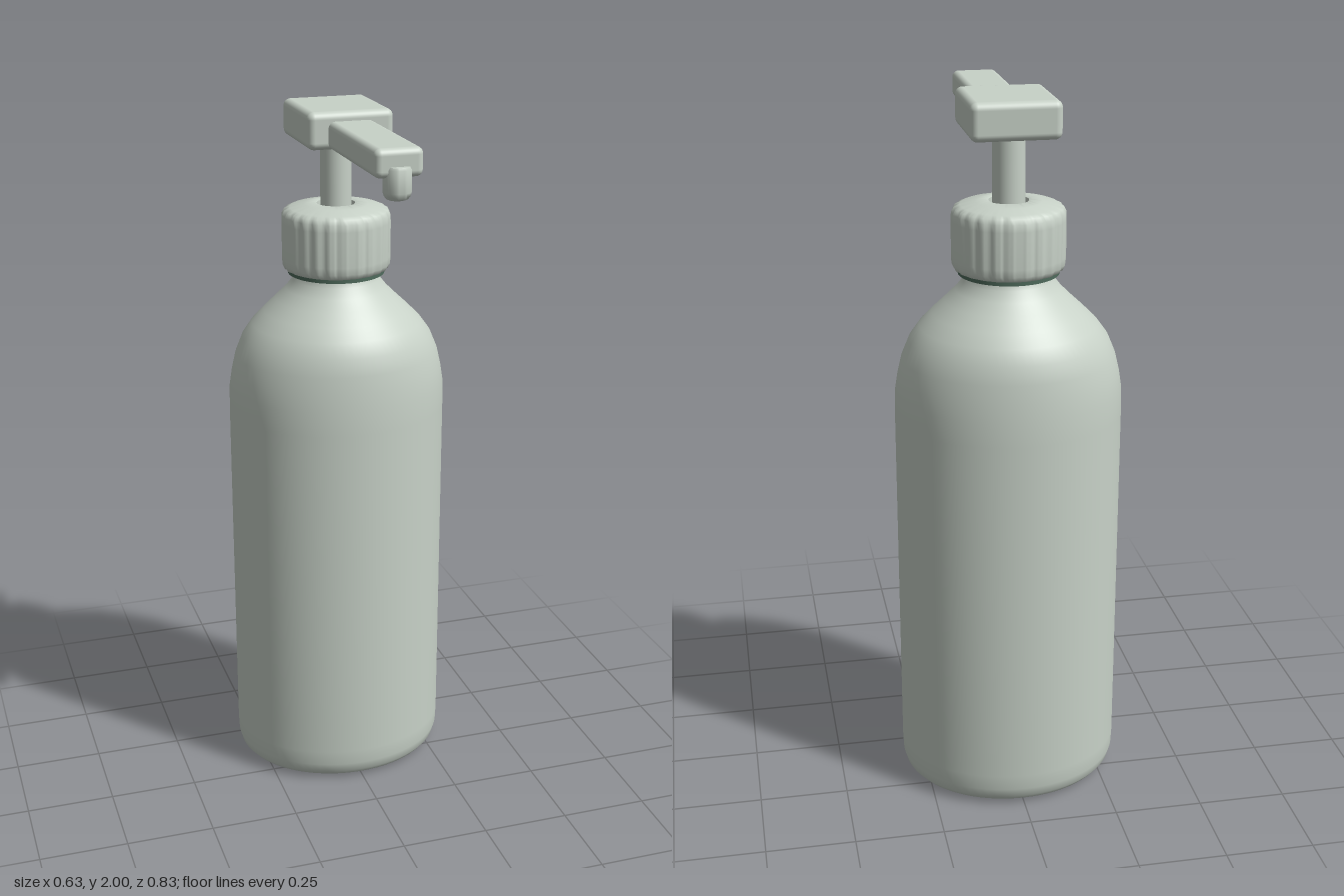
import * as THREE from 'three';
import { mergeVertices, toCreasedNormals } from 'three/addons/utils/BufferGeometryUtils.js';
import { RoundedBoxGeometry } from 'three/addons/geometries/RoundedBoxGeometry.js';

const AXIS_Z = -0.143; // vertical axis of bottle and pump

// Lathe from [radius, y] points, reshaped by an optional vertex rule
function lathe(points, segments, rule, crease) {
  let geo = new THREE.LatheGeometry(points.map(([r, y]) => new THREE.Vector2(r, y)), segments);
  const pos = geo.attributes.position;
  const v = new THREE.Vector3();
  if (rule) {
    for (let i = 0; i < pos.count; i++) {
      rule(v.fromBufferAttribute(pos, i));
      pos.setXYZ(i, v.x, v.y, v.z);
    }
  }
  geo.deleteAttribute('uv');
  geo.deleteAttribute('normal');
  geo = mergeVertices(geo, 1e-5);
  if (crease) return toCreasedNormals(geo, crease);
  geo.computeVertexNormals();
  return geo;
}

export function createModel() {
  const model = new THREE.Group();
  const plastic = new THREE.MeshStandardMaterial({ color: 0xc8d2c8 });
  plastic.name = 'pale sage plastic';
  const seal = new THREE.MeshStandardMaterial({ color: 0x4f6b5c });
  seal.name = 'dark green seal';

  const add = (name, geo, material, x, y, z) => {
    const mesh = new THREE.Mesh(geo, material);
    mesh.name = name;
    mesh.position.set(x, y, z);
    model.add(mesh);
  };

  // Bottle: oval body blending into a round neck
  const bottle = [
    [0, 0], [0.25, 0], [0.272, 0.003], [0.292, 0.012], [0.306, 0.028], [0.314, 0.055],
    [0.316, 0.1], [0.316, 0.6], [0.316, 1.12], [0.315, 1.19], [0.307, 1.24], [0.295, 1.29],
    [0.274, 1.34], [0.245, 1.38], [0.21, 1.415], [0.175, 1.448], [0.145, 1.478],
    [0.124, 1.505], [0.116, 1.53], [0.115, 1.58],
  ];
  add('bottle', lathe(bottle, 72, (v) => {
    v.z *= THREE.MathUtils.lerp(0.864, 1, THREE.MathUtils.smoothstep(v.y, 1.2, 1.5));
  }), plastic, 0, 0, AXIS_Z);

  // Seal ring peeking out under the cap
  add('sealRing', lathe([[0.11, 1.523], [0.138, 1.523], [0.138, 1.545], [0.11, 1.545]], 48, null, 0.6),
    seal, 0, 0, AXIS_Z);

  // Screw cap with shallow grip ribs around its side
  const cap = [
    [0.11, 1.538], [0.137, 1.533], [0.148, 1.537], [0.154, 1.55], [0.155, 1.57], [0.155, 1.67],
    [0.154, 1.69], [0.147, 1.703], [0.13, 1.71], [0.09, 1.719], [0.062, 1.724],
    [0.054, 1.721], [0.052, 1.7], [0.04, 1.7],
  ];
  add('cap', lathe(cap, 144, (v) => {
    const rib = Math.abs(Math.sin(Math.atan2(v.x, v.z) * 12));
    const onSide = THREE.MathUtils.smoothstep(Math.hypot(v.x, v.z), 0.135, 0.15);
    const k = 1 - 0.035 * onSide * (1 - rib);
    v.x *= k;
    v.z *= k;
  }, 0.9), plastic, 0, 0, AXIS_Z);

  // Pump stem
  add('stem', new THREE.CylinderGeometry(0.044, 0.044, 0.24, 32), plastic, 0, 1.8, AXIS_Z);

  // Press head and spout
  add('pressHead', new RoundedBoxGeometry(0.242, 0.102, 0.266, 4, 0.02), plastic, 0, 1.949, -0.128);
  add('spout', new RoundedBoxGeometry(0.13, 0.075, 0.45, 4, 0.018), plastic, 0, 1.937, 0.174);

  // Downward nozzle with a recessed opening
  const nozzle = [
    [0, 0.02], [0.017, 0.02], [0.017, 0.002], [0.022, 0], [0.029, 0.003], [0.034, 0.01],
    [0.037, 0.02], [0.037, 0.078], [0.034, 0.085], [0, 0.087],
  ];
  add('nozzle', lathe(nozzle, 32, null, 0.9), plastic, 0, 1.843, 0.378);

  return model;
}
